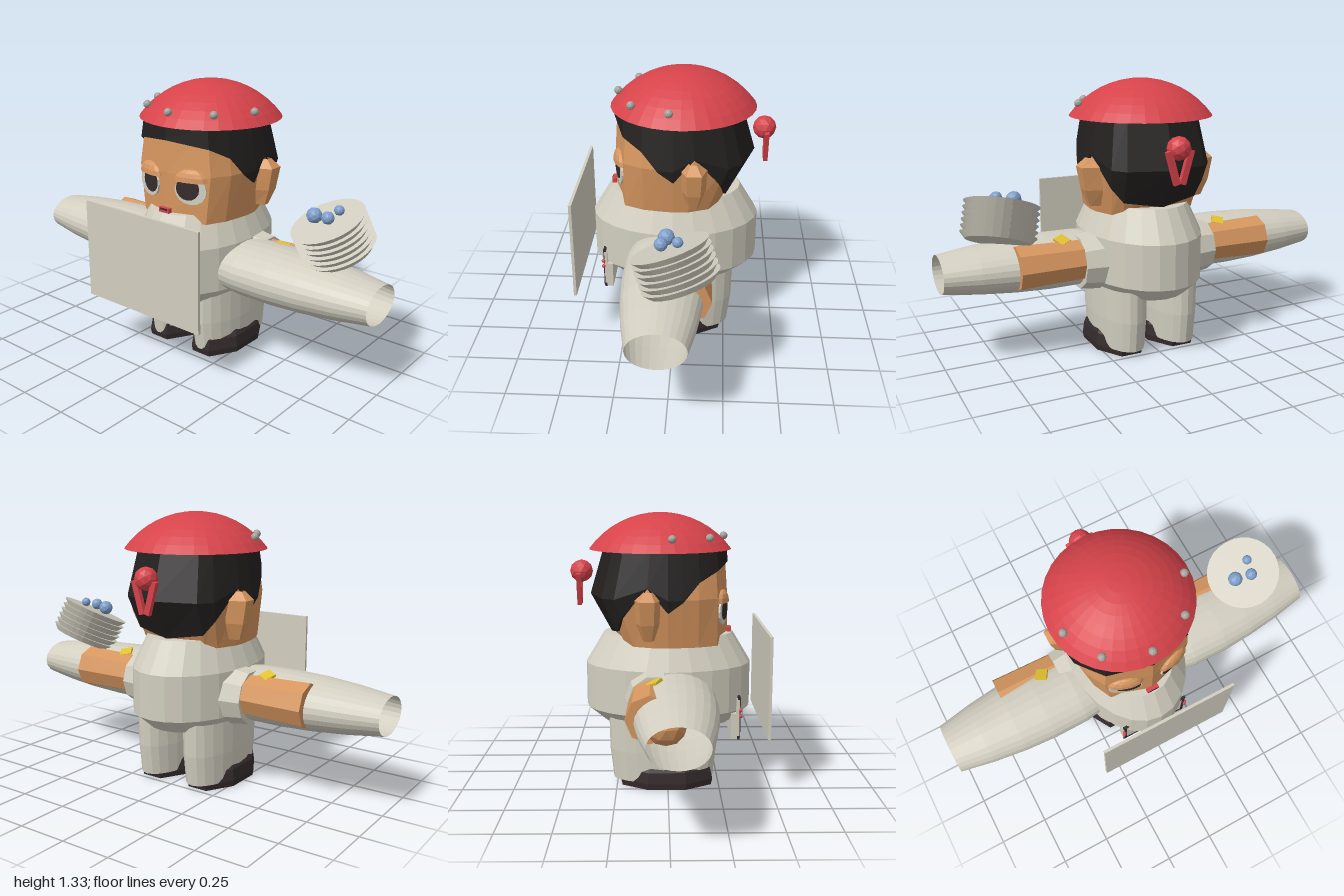
import * as THREE from 'three';

const mat = (name, color, side = THREE.FrontSide) =>
  new THREE.MeshStandardMaterial({ name, color, side, flatShading: true });

export function createModel() {
  const root = new THREE.Group();
  root.name = 'figure';
  const D = THREE.DoubleSide;
  const cream = mat('cream', 0xd2cec0, D), skin = mat('skin', 0xd6965f, D), red = mat('red', 0xd6434a, D);
  const hairBlack = mat('hairBlack', 0x231f1f, D), dark = mat('darkBrown', 0x352b2c);
  const blue = mat('blue', 0x7f9fcb), yellow = mat('yellow', 0xe0c030), metal = mat('metal', 0xa6a29b);

  const add = (name, geo, material, x = 0, y = 0, z = 0, parent = root) => {
    const m = new THREE.Mesh(geo, material);
    m.name = name;
    m.position.set(x, y, z);
    parent.add(m);
    return m;
  };
  const box = (w, h, d) => new THREE.BoxGeometry(w, h, d);
  const lathe = (pts, n) => new THREE.LatheGeometry(pts.map(p => new THREE.Vector2(...p)), n);
  const ball = r => new THREE.IcosahedronGeometry(r, 1);

  // Closed rings of equal length joined into a skin
  const loft = rings => {
    const n = rings[0].length, idx = [];
    for (let j = 0; j < rings.length - 1; j++)
      for (let i = 0; i < n; i++) {
        const a = j * n + i, b = j * n + (i + 1) % n;
        idx.push(a, b, b + n, a, b + n, a + n);
      }
    const g = new THREE.BufferGeometry();
    g.setAttribute('position', new THREE.Float32BufferAttribute(rings.flat(2), 3));
    g.setIndex(idx);
    g.computeVertexNormals();
    return g;
  };

  // Head outline: x, z and hairline height, from face to nape
  const half = [[0, .31, 1.085], [.225, .245, 1.06], [.275, .15, 1.01], [.29, .07, .92], [.3, 0, .87],
    [.295, -.1, .985], [.25, -.25, .84], [.2, -.31, .77], [0, -.375, .74]];
  const outline = [...half, ...half.slice(1, -1).reverse().map(([x, z, h]) => [-x, z, h])];
  const step = (y, a, b, c) => y < .93
    ? THREE.MathUtils.mapLinear(y, .72, .93, a, b) : THREE.MathUtils.mapLinear(y, .93, 1.16, b, c);
  const onHead = ([x, z], y, s) =>
    [x * s * step(y, .9, 1, .86), y, z * s * (z > 0 ? step(y, 1, .985, .93) : step(y, .7, 1, .82))];
  const ring = (yOf, s) => outline.map(p => onHead(p, yOf(p), s));
  add('head', loft([ring(() => .7, .96), ring(() => .93, .97), ring(() => 1.15, .97)]), skin);
  add('hair', loft([ring(p => p[2], .96), ring(p => p[2], 1.01), ring(p => Math.max(p[2], .93), 1.01),
    ring(() => 1.16, 1.01)]), hairBlack);

  // Cap with a row of studs
  const R = .431, cap = Math.asin(.347 / R);
  add('cap', new THREE.SphereGeometry(R, 32, 8, 0, Math.PI * 2, 0, cap), red, 0, 1.325 - R, -.035);
  for (const a of [-80, -42, 0, 42, 80]) {
    const t = a * Math.PI / 180;
    add('capStud', ball(.02), metal, .305 * Math.sin(t), 1.212, -.035 + .31 * Math.cos(t));
  }

  // Hair bobble with two ribbons
  add('bobble', ball(.056), red, 0, 1.04, -.422);
  for (const s of [-1, 1]) {
    const r = add('ribbon', box(.03, .16, .022), red, s * .035, .955, -.432);
    r.rotation.z = -s * .28;
  }

  // Face
  for (const s of [-1, 1]) {
    const eye = new THREE.Group();
    eye.name = 'eye';
    eye.position.set(s * .125, .865, .262);
    eye.rotation.y = s * .29;
    root.add(eye);
    const disc = (name, rx, ry, d, m, x, y, z) => {
      const g = new THREE.CylinderGeometry(1, 1, d, 16).rotateX(Math.PI / 2).scale(rx, ry, 1);
      add(name, g, m, x, y, z, eye);
    };
    disc('eyeWhite', .08, .068, .009, cream, 0, -.005, .004);
    disc('pupil', .058, .056, .008, dark, -s * .014, .004, .008);
    const lid = add('eyelid', new THREE.SphereGeometry(1, 10, 4, 0, Math.PI * 2, 0, Math.PI / 2), skin, 0, .037, 0, eye);
    lid.scale.set(.085, .06, .03);

    // Ear
    const ear = add('ear', loft([[.74, .03], [.82, .06], [.93, .07], [.97, .03]].map(([y, w], i) => {
      const out = [.3, .33, .35, .31][i];
      return [[.25, y, -.09 + w], [out, y, -.09 + w * .4], [out, y, -.09 - w * .6], [.25, y, -.09 - w]];
    })), skin);
    ear.scale.x = s;
  }
  add('mouth', box(.06, .025, .02), red, 0, .75, .305);
  add('mouthLine', box(.04, .008, .008), dark, 0, .757, .314);

  // Torso
  const torso = add('torso', lathe([[0, .295], [.32, .295], [.41, .37], [.41, .59], [.32, .74], [0, .74]], 24), cream, 0, 0, .005);
  torso.scale.x = .7;

  for (const s of [-1, 1]) {
    // Trouser leg and shoe
    const leg = add('leg', lathe([[0, .03], [.245, .03], [.262, .18], [.265, .34]], 24), cream, s * .138, 0, -.022);
    leg.scale.x = .47;
    const shoeRing = (y, k) => Array.from({ length: 8 }, (_, i) => {
      const t = -(i + .5) * Math.PI / 4;
      return [Math.cos(t) * .141 * k, y, Math.sin(t) * .243 * k];
    });
    add('shoe', loft([shoeRing(0, 0), shoeRing(0, .97), shoeRing(.03, 1), shoeRing(.085, .95), shoeRing(.12, .8), shoeRing(.12, 0)]),
      dark, s * .14, 0, -.005).material.side = D;

    // Arm with wide open sleeve
    const arm = new THREE.Group();
    arm.name = 'arm';
    arm.scale.x = s;
    root.add(arm);
    const sleeve = lathe([[.175, .2], [.193, .32], [.195, .5], [.185, .66], [.163, .83], [.13, 1]], 28)
      .rotateZ(-Math.PI / 2).scale(-1, 1, 1).scale(-1, .68, 1);
    add('sleeve', sleeve, cream, 0, .46, .032, arm);
    const shoulder = new THREE.CylinderGeometry(.13, .15, .14, 10).rotateZ(-Math.PI / 2);
    add('shoulder', shoulder, cream, .28, .46, -.06, arm);
    const forearm = new THREE.CylinderGeometry(.108, .1, .32, 8).rotateZ(-Math.PI / 2);
    add('forearm', forearm, skin, .505, .475, -.083, arm);
    add('hand', ball(.092), skin, .71, .47, -.015, arm);
    const clasp = add('bracelet', box(.06, .02, .06), yellow, .43, .575, -.065, arm);
    clasp.rotation.set(-.4, .5, 0);
  }

  // Front panel
  add('panel', box(.7, .49, .014), cream, 0, .525, .475);

  // Waist pouch with dark trim and red buttons
  add('pouchFront', box(.36, .2, .016), cream, 0, .333, .343);
  add('pouchBack', box(.36, .13, .03), cream, 0, .295, .325);
  for (const y of [.237, .437]) add('pouchTrim', box(.362, .018, .012), dark, 0, y, .347);
  for (const s of [-1, 1]) {
    add('pouchSideTrim', box(.012, .2, .006), dark, s * .17, .337, .353);
    for (const y of [.345, .375]) add('pouchButton', ball(.01), red, s * .178, y, .356);
  }

  // Tilted stack of plates
  const n = new THREE.Vector3(-.28, 1, .375).normalize();
  const stack = new THREE.Group();
  stack.name = 'plateStack';
  stack.position.set(.695, .768, -.005);
  stack.quaternion.setFromUnitVectors(new THREE.Vector3(0, 1, 0), n);
  root.add(stack);
  for (let i = 0; i < 6; i++)
    add('plate', new THREE.CylinderGeometry(.178, .152, .029, 28), cream, 0, -.0145 - i * .029, 0, stack);

  // Round sweets on the top plate
  for (const [x, y, z, r] of [[.635, .785, .01, .037], [.715, .795, .028, .03], [.73, .815, -.043, .024]])
    add('sweet', ball(r), blue, x, y, z);

  return root;
}
